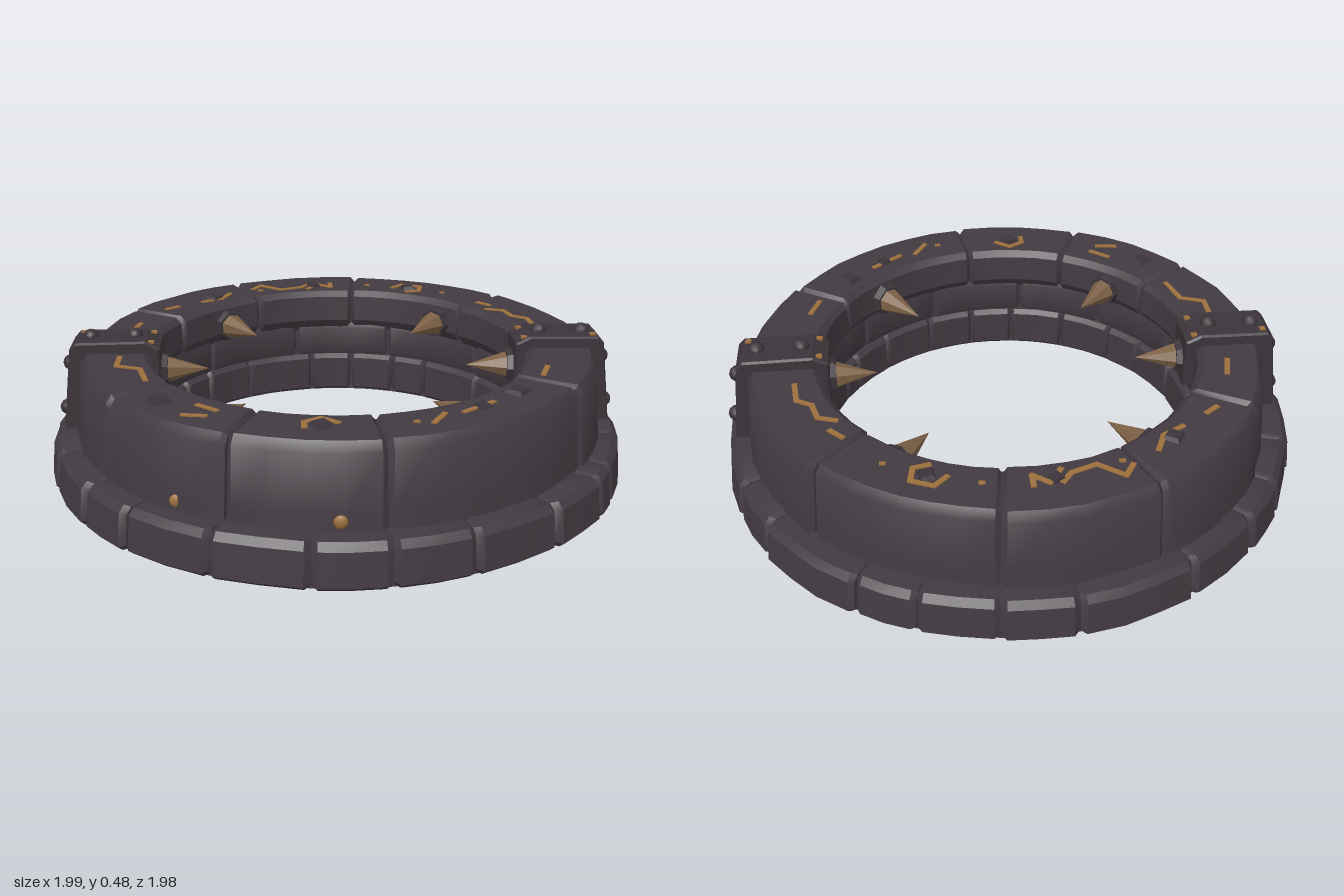
import * as THREE from 'three';
import { toCreasedNormals } from 'three/addons/utils/BufferGeometryUtils.js';

const mat = (name, color, extra = {}) => {
  const m = new THREE.MeshStandardMaterial({ color, ...extra });
  m.name = name;
  return m;
};

// small seeded random in the range -1..1
function seeded(seed) {
  return () => {
    seed = (seed * 16807) % 2147483647;
    return (seed / 2147483647) * 2 - 1;
  };
}

// curved block: a profile of [radius, y] points swept from a0 to a1, pinched at both ends
function stoneGeometry(profile, a0, a1, rand, rough) {
  const n = profile.length, pos = [], idx = [];
  const cr = profile.reduce((s, p) => s + p[0], 0) / n;
  const cy = profile.reduce((s, p) => s + p[1], 0) / n;
  const steps = Math.max(2, Math.round((a1 - a0) / 0.13));
  const angles = [a0 + 0.002];
  for (let i = 0; i <= steps; i++) angles.push(a0 + 0.02 + ((a1 - a0 - 0.04) * i) / steps);
  angles.push(a1 - 0.002);
  const shift = rand() * rough;
  angles.forEach((a, i) => {
    const end = i === 0 || i === angles.length - 1;
    const wobble = shift + rand() * rough * 0.5;
    for (const [r, y] of profile) {
      const dr = r - cr, dy = y - cy, len = Math.hypot(dr, dy);
      const k = end ? 1 - 0.016 / len : 1;
      const rr = cr + dr * k + (dr > 0 ? wobble : -wobble * 0.5);
      pos.push(rr * Math.cos(a), cy + dy * k, rr * Math.sin(a));
    }
  });
  for (let i = 0; i < angles.length - 1; i++) {
    for (let j = 0; j < n; j++) {
      const a = i * n + j, b = i * n + ((j + 1) % n);
      idx.push(a, b, a + n, b, b + n, a + n);
    }
  }
  for (const [i, flip] of [[0, true], [angles.length - 1, false]]) {
    const c = pos.length / 3, a = angles[i];
    pos.push(cr * Math.cos(a), cy, cr * Math.sin(a));
    for (let j = 0; j < n; j++) {
      const p = i * n + j, q = i * n + ((j + 1) % n);
      idx.push(c, flip ? q : p, flip ? p : q);
    }
  }
  const g = new THREE.BufferGeometry();
  g.setAttribute('position', new THREE.Float32BufferAttribute(pos, 3));
  g.setIndex(idx);
  return toCreasedNormals(g, 0.6);
}

export function createModel() {
  const stone = mat('dark stone', 0x423a41);
  const iron = mat('dark iron', 0x3b343a);
  const gold = mat('worn gold', 0x9c6f3c);
  const bronze = mat('spike bronze', 0x7c6045, { flatShading: true });
  const model = new THREE.Group();
  model.name = 'stoneRing';
  const rand = seeded(4711);
  const add = (name, geometry, material, parent = model) => {
    const m = new THREE.Mesh(geometry, material);
    m.name = name;
    parent.add(m);
    return m;
  };

  // one ring of stones between the given joint angles in degrees
  const course = (name, profile, joints, rough) => {
    const group = new THREE.Group();
    group.name = name;
    model.add(group);
    joints.forEach((d, i) => {
      const next = i + 1 < joints.length ? joints[i + 1] : joints[0] + 360;
      add(name + 'Stone', stoneGeometry(profile, d * Math.PI / 180, next * Math.PI / 180, rand, rough), stone, group);
    });
  };

  // solid core that closes the joints
  const core = [[0.66, 0], [0.965, 0], [0.955, 0.13], [0.875, 0.14], [0.85, 0.4], [0.67, 0.4], [0.675, 0.14], [0.66, 0]];
  add('core', toCreasedNormals(new THREE.LatheGeometry(core.map(p => new THREE.Vector2(...p)), 64), 0.6), stone);

  course('baseCourse',
    [[0.648, 0.012], [0.66, 0], [0.975, 0], [0.992, 0.015], [0.98, 0.125], [0.96, 0.148], [0.665, 0.15], [0.648, 0.135]],
    [12, 28, 35, 50, 68, 83, 97, 115, 133, 146, 163, 180, 197, 211, 223, 240, 263, 277, 292, 304, 327, 340], 0.007);
  course('middleCourse',
    [[0.67, 0.15], [0.8, 0.15], [0.8, 0.28], [0.67, 0.28], [0.662, 0.26], [0.662, 0.17]],
    [10, 42, 70, 100, 128, 160, 192, 225, 258, 290, 325], 0.007);
  course('topCourse',
    [[0.66, 0.275], [0.76, 0.14], [0.903, 0.14], [0.897, 0.2], [0.882, 0.385], [0.86, 0.415],
      [0.67, 0.415], [0.648, 0.395], [0.643, 0.3]],
    [32, 83, 114, 146, 180, 210, 244, 277, 318, 360], 0.008);

  // inlaid strokes on the top stones, each a chain of [x, z] points
  const strokes = [
    [[-0.31, -0.69], [-0.28, -0.74], [-0.2, -0.68], [-0.12, -0.71], [-0.09, -0.75]],
    [[-0.09, -0.69], [-0.05, -0.75], [0, -0.71], [0, -0.76]],
    [[0.25, -0.69], [0.29, -0.73], [0.36, -0.7], [0.35, -0.64], [0.3, -0.63]],
    [[0.56, -0.47], [0.6, -0.43]],
    [[0.58, -0.38], [0.64, -0.36], [0.66, -0.29], [0.71, -0.26], [0.72, -0.17]],
    [[0.65, 0.35], [0.68, 0.27]],
    [[-0.74, 0.12], [-0.74, 0.21], [-0.66, 0.24], [-0.63, 0.35]],
    [[-0.13, 0.76], [-0.13, 0.72], [-0.08, 0.69], [-0.03, 0.73]],
    [[0.25, 0.74], [0.29, 0.67]],
    [[0.35, 0.66], [0.4, 0.62], [0.45, 0.58]],
    [[-0.49, 0.65], [-0.42, 0.66]],
    [[-0.45, 0.57], [-0.39, 0.62]],
    [[-0.5, -0.52], [-0.43, -0.56], [-0.4, -0.63]],
    [[-0.73, -0.17], [-0.71, -0.25]],
    [[-0.63, -0.43], [-0.59, -0.46]],
  ];
  for (const s of strokes) {
    for (let i = 0; i + 1 < s.length; i++) {
      const [x0, z0] = s[i], [x1, z1] = s[i + 1];
      const g = new THREE.BoxGeometry(Math.hypot(x1 - x0, z1 - z0) + 0.012, 0.008, 0.018);
      const m = add('goldInlay', g, gold);
      m.position.set((x0 + x1) / 2, 0.415, (z0 + z1) / 2);
      m.rotation.y = -Math.atan2(z1 - z0, x1 - x0);
    }
  }
  for (const [x, z] of [[0.15, -0.73], [0.44, -0.61], [-0.28, -0.67], [0.2, 0.73], [0.31, -0.68]]) {
    add('goldFleck', new THREE.BoxGeometry(0.02, 0.008, 0.015), gold).position.set(x, 0.415, z);
  }

  // low diamond studs set among the inlays
  for (const [x, z, s] of [[-0.08, 0.745, 0.045], [0.31, -0.68, 0.04], [0.54, 0.5, 0.05], [-0.57, 0.53, 0.05],
    [-0.46, -0.57, 0.045], [-0.07, -0.73, 0.035], [0.41, 0.62, 0.035]]) {
    const m = add('diamondStud', new THREE.CylinderGeometry(s * 0.65, s, 0.02, 4).toNonIndexed(), iron);
    m.geometry.computeVertexNormals();
    m.position.set(x, 0.418, z);
    m.rotation.y = x * 3;
  }

  // small gold studs at the foot of the front wall
  for (const x of [-0.51, -0.03]) {
    const m = add('wallStud', new THREE.SphereGeometry(0.022, 8, 6), gold);
    const a = Math.acos(x / 0.9);
    m.position.set(x, 0.18, 0.9 * Math.sin(a));
    m.scale.z = 0.5;
  }

  // iron strap folded over the wall, with bolts, on both sides
  const strapOutline = [[0.61, 0.25], [0.655, 0.25], [0.655, 0.39], [0.85, 0.39], [0.88, 0.14], [0.952, 0.14],
    [0.916, 0.43], [0.895, 0.452], [0.66, 0.455], [0.61, 0.43]];
  const strapShape = new THREE.Shape(strapOutline.map(p => new THREE.Vector2(...p)));
  const strapGeometry = new THREE.ExtrudeGeometry(strapShape,
    { depth: 0.146, bevelEnabled: true, bevelSize: 0.006, bevelThickness: 0.008, bevelSegments: 1, bevelOffset: -0.006 });
  strapGeometry.translate(0, 0, -0.073);
  for (const side of ['left', 'right']) {
    const strap = new THREE.Group();
    strap.name = side + 'Strap';
    strap.rotation.y = side === 'left' ? 0 : Math.PI;
    model.add(strap);
    add('strapBand', strapGeometry, iron, strap);
    for (const [x, y, z] of [[0.7, 0.455, 0], [0.85, 0.452, 0], [0.925, 0.36, 0], [0.948, 0.195, 0]]) {
      add('bolt', new THREE.IcosahedronGeometry(0.028, 1), iron, strap).position.set(x, y, z);
    }
    for (const [x, z] of [[0.64, 0.055], [0.64, -0.055], [0.88, 0.05]]) {
      const m = add('strapFleck', new THREE.BoxGeometry(0.02, 0.008, 0.02), gold, strap);
      m.position.set(x, x < 0.7 ? 0.447 : 0.453, z);
    }
  }

  // six spikes pointing at the centre: angle, tip radius, base radius
  for (const [deg, tip, base] of [[0, 0.45, 0.62], [50, 0.455, 0.65], [132, 0.465, 0.65],
    [180, 0.45, 0.62], [231, 0.462, 0.65], [309, 0.462, 0.65]]) {
    const spike = new THREE.Group();
    spike.name = 'spike';
    spike.rotation.y = -deg * Math.PI / 180;
    spike.position.y = 0.33;
    model.add(spike);
    const cone = new THREE.ConeGeometry(0.055, base - tip, 7).rotateZ(Math.PI / 2);
    add('spikePoint', cone, bronze, spike).position.x = (base + tip) / 2;
    const collar = toCreasedNormals(new THREE.CylinderGeometry(0.055, 0.068, 0.05, 7), 0.5).rotateZ(Math.PI / 2);
    add('spikeCollar', collar, iron, spike).position.x = base - 0.005;
  }
  return model;
}
